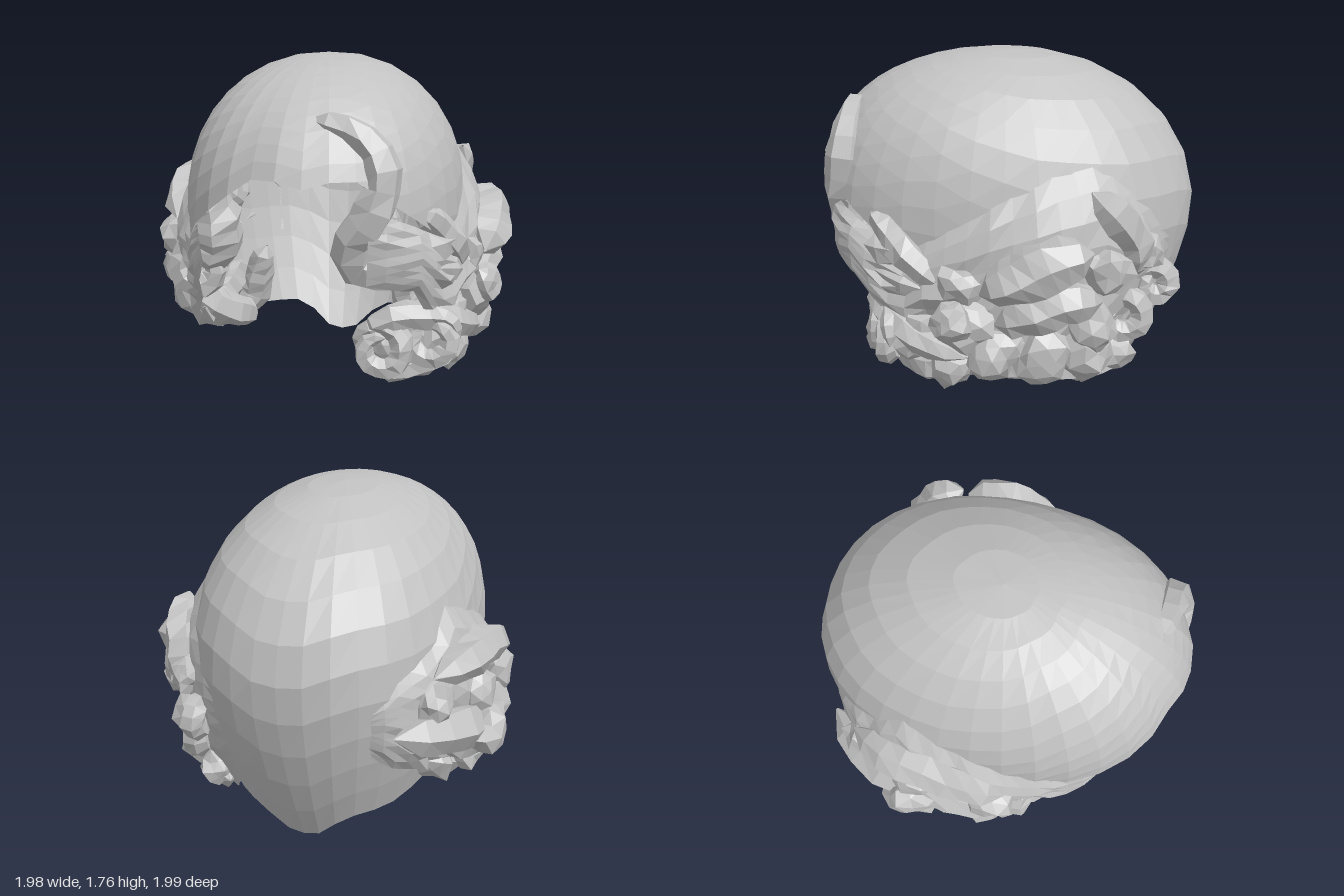
import * as THREE from 'three';

const hair = new THREE.MeshStandardMaterial({ color: 0xc2c2c2, flatShading: true, side: THREE.DoubleSide });
hair.name = 'plain grey';

const RAD = Math.PI / 180;
const MID = 0.96; // height of the widest ring of the cap

// Repeatable noise in -1..1
function noise(a, b, c = 0) {
  const n = Math.sin(a * 12.99 + b * 78.23 + c * 37.72) * 43758.55;
  return (n - Math.floor(n)) * 2 - 1;
}

// Cap radius (fraction of full size) at height y; the brow is fuller than the back
function rho(y, p = 90) {
  if (y < MID) return 1 - 0.35 * ((MID - y) / MID) ** 1.6;
  const e = 2.18 + 0.17 * Math.cos(p * RAD);
  return Math.max(0, 1 - ((y - MID) / 0.8) ** e) ** (1 / e);
}

// Point at angle p (degrees, 0 = front) and height y, pushed outwards; the plan is a slightly squared oval
function onCap(p, y, out = 0) {
  const r = rho(y, p), sn = Math.sin(p * RAD), cs = Math.cos(p * RAD);
  const k = (Math.abs(sn) ** 2.2 + Math.abs(cs) ** 2.2) ** (-1 / 2.2);
  return [(0.74 * r * k + out) * sn, y, (r * k + out) * cs];
}

// Sideways point on the cap, given z and y
function onSide(s, z, y, out) {
  const r = rho(y), c = Math.min(0.98, Math.abs(z) / r);
  return [s * (0.74 * r * (1 - c ** 2.2) ** (1 / 2.2) + out), y, z];
}

// Piecewise linear lookup in a list of [key, value, ...]
function lookup(table, k, col = 1) {
  for (let i = 1; i < table.length; i++) {
    const a = table[i - 1], b = table[i];
    if (k <= b[0]) return THREE.MathUtils.lerp(a[col], b[col], Math.max(0, (k - a[0]) / (b[0] - a[0])));
  }
  return table[table.length - 1][col];
}

// Grid surface from a rule f(u, v)
function sheet(name, nu, nv, f) {
  const pos = [], idx = [];
  for (let i = 0; i <= nu; i++) for (let j = 0; j <= nv; j++) pos.push(...f(i / nu, j / nv));
  for (let i = 0; i < nu; i++) for (let j = 0; j < nv; j++) {
    const a = i * (nv + 1) + j, b = a + nv + 1;
    idx.push(a, a + 1, b, b, a + 1, b + 1);
  }
  const g = new THREE.BufferGeometry();
  g.setAttribute('position', new THREE.Float32BufferAttribute(pos, 3));
  g.setIndex(idx);
  g.computeVertexNormals();
  const m = new THREE.Mesh(g, hair);
  m.name = name;
  return m;
}

// Tapered, slightly uneven lock of hair along a path
function lock(name, points, radius, seg = 9, sides = 6, rough = 0.15) {
  const curve = new THREE.CatmullRomCurve3(points.map(q => new THREE.Vector3(...q)));
  const g = new THREE.TubeGeometry(curve, seg, radius, sides);
  const p = g.attributes.position, v = new THREE.Vector3();
  for (let i = 0; i <= seg; i++) {
    const c = curve.getPointAt(i / seg);
    const taper = Math.max(0.06, Math.sin(Math.PI * i / seg) ** 0.32);
    for (let j = 0; j <= sides; j++) {
      const k = i * (sides + 1) + j;
      v.fromBufferAttribute(p, k).sub(c).multiplyScalar(taper * (1 + rough * noise(i, j % sides, points[0][1])));
      v.add(c);
      p.setXYZ(k, v.x, v.y, v.z);
    }
  }
  g.computeVertexNormals();
  const m = new THREE.Mesh(g, hair);
  m.name = name;
  return m;
}

// Faceted lump of curled hair
function lump(name, at, r, i) {
  const g = new THREE.IcosahedronGeometry(r, 1);
  const p = g.attributes.position;
  for (let k = 0; k < p.count; k++) {
    const q = [p.getX(k), p.getY(k), p.getZ(k)].map(n => Math.round(n * 1000) / 1000 + 0);
    const f = 1 + 0.2 * noise(q[0] * 9, q[1] * 9, q[2] * 9 + i);
    p.setXYZ(k, q[0] * f * 0.8, q[1] * f, q[2] * f);
  }
  g.computeVertexNormals();
  const m = new THREE.Mesh(g, hair);
  m.name = name;
  m.position.set(...at);
  m.rotation.x = i * 1.3;
  return m;
}

// Points of a ring-shaped curl facing along z (or x when sideways)
function spiral(c, r, turns, sideways, s = 1) {
  return Array.from({ length: 11 }, (_, i) => {
    const a = i / 10 * turns * Math.PI * 2, q = r * (1 - 0.45 * i / 10);
    const u = Math.cos(a) * q, w = Math.sin(a) * q;
    return sideways ? [c[0] + s * 0.004 * i, c[1] + w, c[2] + u] : [c[0] + s * u, c[1] + w, c[2] + 0.005 * i];
  });
}

export function createModel() {
  const model = new THREE.Group();
  model.name = 'hairpiece';

  // Smooth cap, open at the face and running down to a point at the nape
  const rim = [[0, 1.2], [6, 1.21], [13, 1.25], [20, 1.23], [30, 1.14], [45, 1.0], [60, 0.86], [75, 0.6], [100, 0.33],
    [130, 0.2], [152, 0.17], [163, 0.09], [172, 0], [180, 0]];
  model.add(sheet('cap', 36, 11, (u, v) => {
    const p = u * 360 - 180, yr = lookup(rim, Math.abs(p));
    const end = yr > MID ? Math.acos((yr - MID) / 0.8) : Math.PI / 2 + (MID - yr) / 0.8;
    const a = end * v;
    const y = a < Math.PI / 2 ? MID + 0.8 * Math.cos(a) : MID - 0.8 * (a - Math.PI / 2);
    return onCap(p, y, Math.abs(p) < 15 ? 0.02 * v : 0);
  }));

  // Forelock sweeping down the brow and round to the left side
  model.add(lock('forelock', [[0.01, 1.5, 0.78], [0.14, 1.47, 0.8], [0.28, 1.41, 0.81], [0.36, 1.25, 0.83],
    [0.32, 1.07, 0.85], [0.22, 0.92, 0.82], [0.22, 0.79, 0.77], [0.34, 0.75, 0.74], [0.55, 0.75, 0.64],
    [0.74, 0.7, 0.42]], 0.105, 18, 6, 0.12));
  model.add(lock('browLock', [[0.4, 1.12, 0.78], [0.38, 0.97, 0.78], [0.44, 0.86, 0.74], [0.58, 0.85, 0.62],
    [0.72, 0.88, 0.42]], 0.09, 10));
  model.add(lock('templeLock', [[0.52, 1.05, 0.68], [0.6, 0.97, 0.6], [0.68, 0.85, 0.48], [0.72, 0.7, 0.3]], 0.08));

  // Rolled curls beside the left cheek
  model.add(lock('cheekCurl', spiral([0.35, 0.34, 0.66], 0.13, 1.3, false, -1), 0.062, 18));
  model.add(lock('cheekCurl', spiral([0.6, 0.38, 0.58], 0.14, 1.3, false), 0.06, 18));
  model.add(lump('curlCore', [0.36, 0.34, 0.6], 0.1, 1));
  model.add(lump('curlCore', [0.6, 0.37, 0.5], 0.12, 2));
  model.add(lock('cheekSweep', [[0.25, 0.42, 0.66], [0.38, 0.5, 0.68], [0.58, 0.5, 0.6], [0.74, 0.42, 0.42],
    [0.8, 0.35, 0.2]], 0.08, 10));
  model.add(lock('cheekUnderLock', [[0.32, 0.18, 0.58], [0.45, 0.18, 0.5], [0.62, 0.22, 0.36], [0.7, 0.28, 0.1]], 0.08));

  // Curls hanging beside the right cheek
  model.add(lock('rightTempleRoll', [[-0.6, 1.08, 0.34], [-0.57, 0.95, 0.32], [-0.57, 0.75, 0.28], [-0.64, 0.6, 0.24]], 0.14));
  model.add(lock('rightCheekCurl', spiral([-0.66, 0.62, 0.24], 0.14, 1.2, false), 0.08, 14));
  model.add(lock('rightCheekLock', [[-0.76, 0.62, 0.18], [-0.72, 0.5, 0.2], [-0.62, 0.4, 0.2], [-0.52, 0.33, 0.1],
    [-0.42, 0.27, -0.05]], 0.1));

  // Brushed-back hair over each ear: angle, top edge, bottom edge
  const leftSwath = [[24, 1.1, 0.72], [44, 0.98, 0.66], [51, 0.93, 0.48], [60, 0.86, 0.36], [75, 1.02, 0.24],
    [90, 1.17, 0.2], [105, 1.28, 0.19], [117, 1.33, 0.17], [126, 1.22, 0.15], [136, 1.05, 0.16], [148, 0.86, 0.3]];
  const rightSwath = [[50, 0.95, 0.75], [60, 0.87, 0.5], [75, 0.98, 0.32], [90, 1.13, 0.27], [104, 1.23, 0.3],
    [113, 1.28, 0.35], [121, 1.13, 0.42], [136, 1.0, 0.5], [146, 0.85, 0.6]];

  for (const s of [1, -1]) {
    const side = new THREE.Group();
    side.name = s > 0 ? 'leftSideHair' : 'rightSideHair';
    const swath = s > 0 ? leftSwath : rightSwath;
    const p0 = swath[0][0], p1 = swath[swath.length - 1][0];
    side.add(sheet('brushedSide', 20, 9, (u, v) => {
      const p = THREE.MathUtils.lerp(p0, p1, u);
      const y = THREE.MathUtils.lerp(lookup(swath, p, 1), lookup(swath, p, 2), v);
      const bulge = Math.sin(Math.PI * v * 0.8) ** 0.65 * Math.sin(Math.PI * u) ** 0.7;
      const q = onCap(p, y, -0.01 + bulge * (0.13 + 0.035 * noise(u * 20, v * 9, s)));
      return [s * q[0], q[1], q[2]];
    }));

    // Inner locks by the neck and the lower edge of the side hair
    side.add(lock('innerNeckLock', [[s * 0.35, 0.68, 0], [s * 0.4, 0.52, -0.05], [s * 0.44, 0.36, -0.08],
      [s * 0.54, 0.28, -0.02]], 0.08));
    const edge = s > 0 ? [[0.38, 0.26], [0.1, 0.27], [-0.2, 0.27], [-0.45, 0.22], [-0.62, 0.22]]
      : [[0.3, 0.4], [0.12, 0.34], [-0.1, 0.34], [-0.3, 0.38], [-0.5, 0.47]];
    side.add(lock('lowerEdge', edge.map(([z, y]) => onSide(s, z, y, s > 0 ? 0.07 : 0.04)), 0.11, 12, 6, 0.25));

    // Long rolls lying along the side: radius, outward offset, then z, y points
    const rolls = s > 0
      ? [[0.13, 0.15, [0.12, 0.72], [-0.05, 0.8], [-0.25, 0.9], [-0.43, 0.93]],
        [0.11, 0.16, [0.05, 0.55], [-0.15, 0.62], [-0.32, 0.68], [-0.48, 0.66]],
        [0.1, 0.06, [-0.42, 1.2], [-0.54, 1.08], [-0.64, 0.92], [-0.64, 0.72]]]
      : [[0.13, 0.12, [0.2, 0.6], [0, 0.64], [-0.25, 0.64], [-0.5, 0.68], [-0.82, 0.74]],
        [0.11, 0.08, [0.2, 0.87], [0.02, 0.95], [-0.2, 1.02], [-0.42, 1.02], [-0.64, 1.0]],
        [0.11, 0.13, [0.12, 0.48], [-0.08, 0.5], [-0.28, 0.53], [-0.5, 0.56]]];
    for (const [r, out, ...path] of rolls)
      side.add(lock('sideRoll', path.map(([z, y]) => onSide(s, z, y, out)), r, 8));

    // Clustered lumps: z, y, radius, outward offset
    const lumps = s > 0
      ? [[0.2, 0.53, 0.15, 0.12], [0.42, 0.45, 0.13, 0.09], [0.28, 0.25, 0.12, 0.13], [0.06, 0.38, 0.14, 0.16],
        [-0.18, 0.36, 0.15, 0.18], [-0.4, 0.33, 0.14, 0.14], [-0.43, 0.5, 0.14, 0.12], [-0.56, 0.28, 0.11, 0.09],
        [0.22, 0.74, 0.12, 0.05], [-0.5, 0.8, 0.13, 0.09], [0.26, 0.58, 0.1, 0.21], [-0.7, 0.86, 0.1, 0.06]]
      : [[0.18, 0.48, 0.13, 0.08], [0.05, 0.4, 0.12, 0.1], [-0.2, 0.42, 0.12, 0.12], [-0.3, 0.62, 0.15, 0.2],
        [-0.28, 0.82, 0.13, 0.1], [0.12, 0.76, 0.14, 0.09], [-0.6, 0.86, 0.12, 0.06], [0.08, 0.58, 0.14, 0.12]];
    lumps.forEach(([z, y, r, out], i) => side.add(lump('curlLump', onSide(s, z, y, out), r, i + 1)));
    model.add(side);
  }

  // Ring curls behind the left ear
  for (const [z, y, r] of [[-0.6, 0.5, 0.12], [-0.76, 0.66, 0.09]])
    model.add(lock('ringCurl', spiral(onSide(1, z, y, 0.06), r, 1.2, true), 0.065, 14));
  return model;
}
